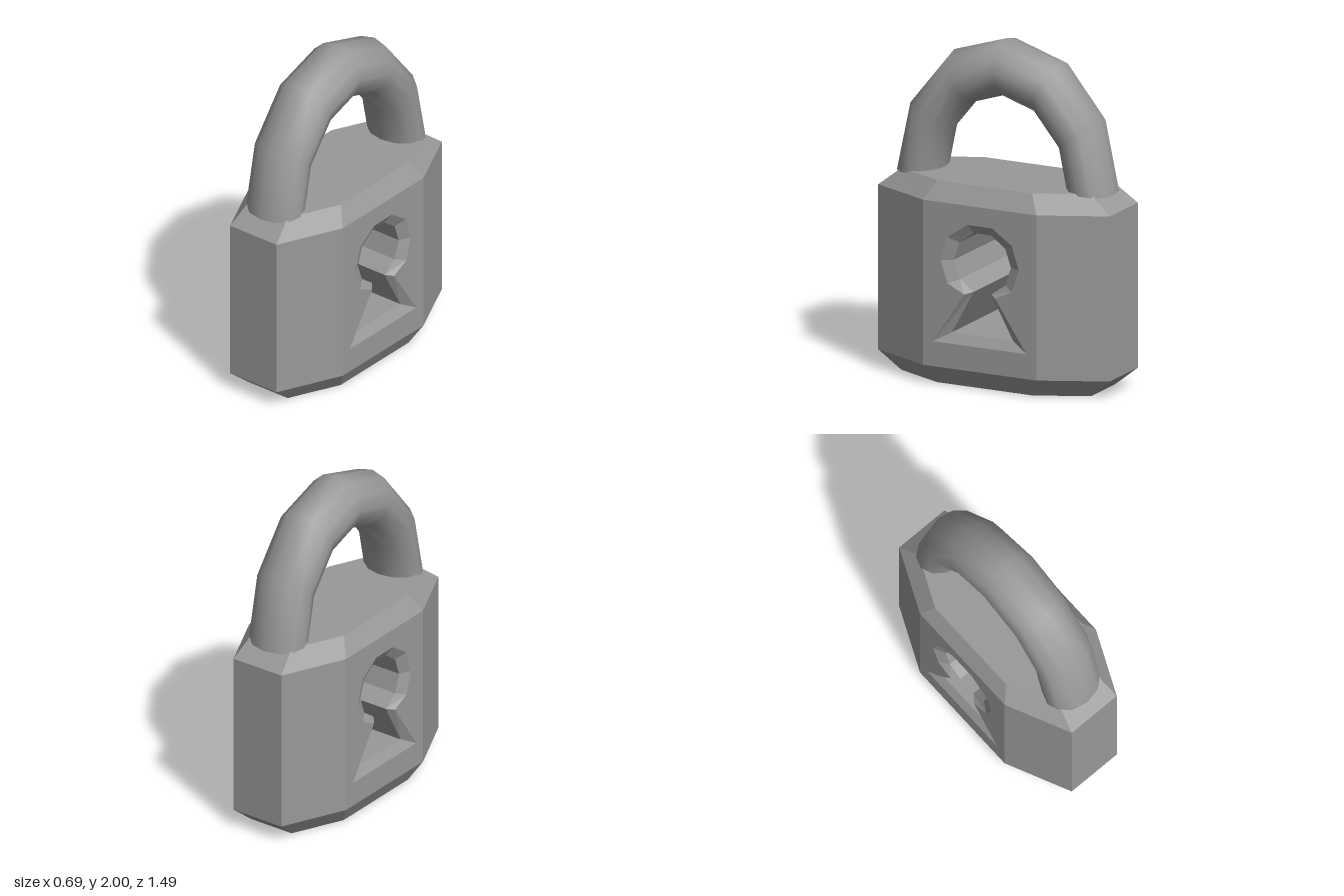
import * as THREE from 'three';
import { mergeVertices } from 'three/addons/utils/BufferGeometryUtils.js';

// Joins consecutive closed rings of points with flat quads
function loft(rings, skip = () => false) {
  const pos = [];
  for (let r = 0; r < rings.length - 1; r++) {
    const a = rings[r], b = rings[r + 1], n = a.length;
    for (let i = 0; i < n; i++) {
      if (skip(r, i)) continue;
      const j = (i + 1) % n;
      for (const p of [a[i], b[i], b[j], a[i], b[j], a[j]]) pos.push(...p);
    }
  }
  const g = new THREE.BufferGeometry();
  g.setAttribute('position', new THREE.Float32BufferAttribute(pos, 3));
  g.computeVertexNormals();
  return g;
}

export function createModel() {
  const model = new THREE.Group();
  model.name = 'padlock';
  const metal = new THREE.MeshStandardMaterial({ color: 0x999999 });
  metal.name = 'grey metal';

  const add = (name, geometry, parent) => {
    const mesh = new THREE.Mesh(geometry, metal);
    mesh.name = name;
    parent.add(mesh);
    return mesh;
  };

  // Body: eight-sided block with bevelled top and bottom
  const body = new THREE.Group();
  body.name = 'body';
  model.add(body);
  const W = 0.345, D = 0.365, LOW = 0.11, HIGH = 1.083, TOP = 1.19;
  const octagon = (x1, z1, x2, z2) => [
    [x1, -z1], [x1, z1], [x2, z2], [-x2, z2], [-x1, z1], [-x1, -z1], [-x2, -z2], [x2, -z2],
  ];
  const wide = octagon(W, D, 0.17, 0.745);
  const narrow = octagon(0.283, 0.305, 0.142, 0.61);
  const level = (ring, y) => ring.map(([x, z]) => [x, y, z]);
  // The two broad walls are left out here, as they carry the keyhole
  add('bodyShell', loft(
    [level(narrow, 0), level(wide, LOW), level(wide, HIGH), level(narrow, TOP)],
    (r, i) => r === 1 && (i === 0 || i === 4)), body);
  const lid = () => new THREE.ShapeGeometry(
    new THREE.Shape(narrow.map(([x, z]) => new THREE.Vector2(x, z))));
  add('bodyTop', lid().rotateX(-Math.PI / 2).translate(0, TOP, 0), body);
  add('bodyBottom', lid().rotateX(Math.PI / 2), body);

  // Keyhole outlines as (z, y), mirrored from one half
  const mirror = (half) => [...half, ...half.slice().reverse().map(([z, y]) => [-z, y])];
  const rim = mirror([[0.08, 0.97], [0.207, 0.882], [0.252, 0.743], [0.207, 0.61], [0.1, 0.557], [0.3, 0.257]]);
  const bore = mirror([[0.055, 0.917], [0.147, 0.85], [0.183, 0.743], [0.147, 0.633], [0.057, 0.57], [0.197, 0.314]]);

  // Broad walls with the keyhole cut out
  const wall = new THREE.Shape([
    [-D, LOW], [D, LOW], [D, HIGH], [-D, HIGH],
  ].map((p) => new THREE.Vector2(...p)));
  wall.holes.push(new THREE.Path(rim.map((p) => new THREE.Vector2(...p))));
  for (const side of [1, -1]) {
    add(side > 0 ? 'leftWall' : 'rightWall',
      new THREE.ShapeGeometry(wall).rotateY(side * Math.PI / 2).translate(side * W, 0, 0), body);
  }

  // Keyhole tunnel with a chamfer at both ends
  const at = (ring, x) => ring.map(([z, y]) => [x, y, z]);
  const inner = W - 0.035;
  add('keyhole', loft([at(rim, -W), at(bore, -inner), at(bore, inner), at(rim, W)]), body);

  // Shackle: outer and inner arch points as (z, y), with twelve-sided sections
  const outerArch = [[0.685, 1.162], [0.595, 1.58], [0.345, 1.89], [0, 2]];
  const innerArch = [[0.408, 1.175], [0.36, 1.41], [0.205, 1.6], [0, 1.667]];
  const fullArch = (half) => [
    ...half.map(([z, y]) => [-z, y]), ...half.slice(0, 3).reverse(),
  ];
  const outs = fullArch(outerArch), ins = fullArch(innerArch);
  const SIDES = 12;
  const sections = outs.map(([zo, yo], k) => {
    const [zi, yi] = ins[k];
    return Array.from({ length: SIDES }, (_, i) => {
      const t = (i / SIDES) * Math.PI * 2;
      const c = Math.cos(t) / 2;
      return [0.182 * Math.sin(t), (yo + yi) / 2 + (yo - yi) * c, (zo + zi) / 2 + (zo - zi) * c];
    });
  });
  const tube = loft(sections);
  tube.deleteAttribute('normal');
  const smoothTube = mergeVertices(tube, 1e-4);
  smoothTube.computeVertexNormals();
  const shackle = new THREE.Group();
  shackle.name = 'shackle';
  model.add(shackle);
  add('shackleArch', smoothTube, shackle);

  // Flat ends of the shackle
  const middle = (k) => Array(SIDES).fill(
    [0, (outs[k][1] + ins[k][1]) / 2, (outs[k][0] + ins[k][0]) / 2]);
  const last = outs.length - 1;
  add('backShackleEnd', loft([middle(0), sections[0]]), shackle);
  add('frontShackleEnd', loft([sections[last], middle(last)]), shackle);

  return model;
}
